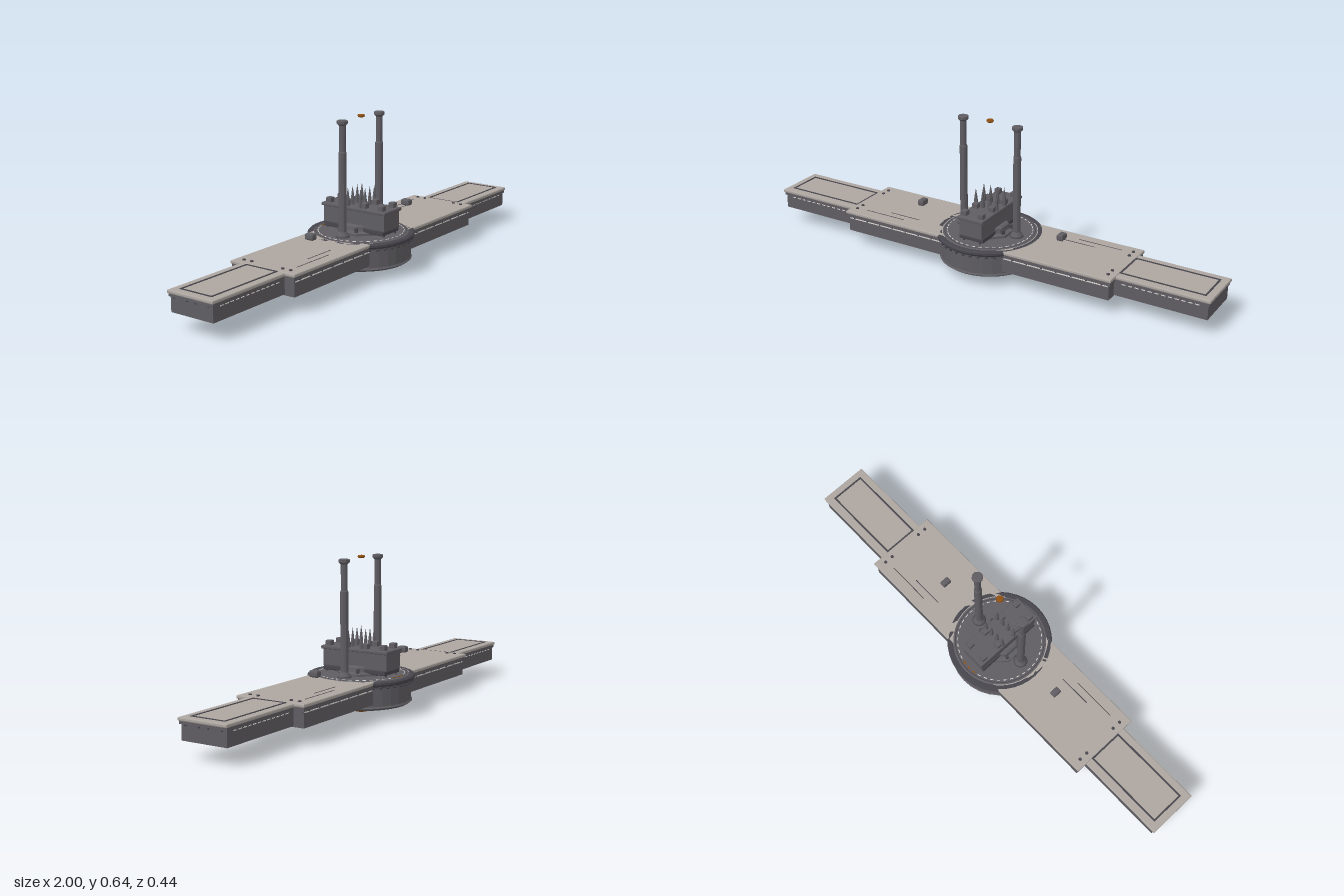
import * as THREE from 'three';

const mat = (name, color) => {
  const m = new THREE.MeshStandardMaterial({ color, flatShading: true });
  m.name = name;
  return m;
};

export function createModel() {
  const root = new THREE.Group();
  root.name = 'turntablePlatform';
  const steel = mat('gunmetal', 0x5f5d62);
  const dark = mat('darkSteel', 0x48464d);
  const deck = mat('paleDeck', 0xaca5a0);
  const copper = mat('copper', 0x8f5012);
  const white = mat('whitePaint', 0xd9d7d2);

  const add = (name, geo, m, x = 0, y = 0, z = 0, parent = root) => {
    const mesh = new THREE.Mesh(geo, m);
    mesh.name = name;
    mesh.position.set(x, y, z);
    parent.add(mesh);
    return mesh;
  };
  // Box given by its centre and its lower and upper heights
  const box = (name, m, x, z, w, d, y0, y1) =>
    add(name, new THREE.BoxGeometry(w, y1 - y0, d), m, x, (y0 + y1) / 2, z);
  const lathe = (name, m, pts, seg, x = 0, y = 0, z = 0) =>
    add(name, new THREE.LatheGeometry(pts.map(p => new THREE.Vector2(...p)), seg), m, x, y, z);
  // Horizontal slab with bevelled edges
  const slab = (name, m, x, z, w, d, y0, y1, b = 0.004) => {
    const hw = w / 2 - b, hd = d / 2 - b;
    const s = new THREE.Shape([[-hw, -hd], [hw, -hd], [hw, hd], [-hw, hd]].map(p => new THREE.Vector2(...p)));
    const g = new THREE.ExtrudeGeometry(s, {
      depth: y1 - y0 - 2 * b, bevelEnabled: true, bevelSize: b, bevelThickness: b, bevelSegments: 2,
    });
    g.rotateX(-Math.PI / 2);
    return add(name, g, m, x, y0 + b, z);
  };

  // Wings: broad inner span and narrow outer span on each side
  for (const s of [1, -1]) {
    box('innerWingHull', steel, s * 0.33, 0, 0.56, 0.288, 0.066, 0.13);
    box('innerWingTrim', steel, s * 0.335, 0, 0.562, 0.298, 0.129, 0.144);
    slab('innerWingDeck', deck, s * 0.345, 0, 0.55, 0.306, 0.143, 0.157);
    box('outerWingHull', steel, s * 0.79, 0, 0.4, 0.198, 0.07, 0.13);
    box('outerWingTrim', steel, s * 0.795, 0, 0.4, 0.208, 0.129, 0.142);
    slab('outerWingDeck', deck, s * 0.8, 0, 0.4, 0.214, 0.14, 0.154);

    // Inset groove framing the outer deck
    for (const f of [1, -1]) {
      box('deckGrooveSide', dark, s * 0.795, f * 0.072, 0.35, 0.007, 0.153, 0.156);
      box('deckStripe', white, s * 0.375, f * 0.1445, 0.46, 0.003, 0.122, 0.126);
      for (let i = 0; i < 12; i++) {
        box('deckDash', white, s * (0.65 + i * 0.027), f * 0.0995, 0.016, 0.003, 0.122, 0.125);
      }
      // Deck rivets beside the step
      for (const z of [0.075, 0.112]) {
        add('deckRivet', new THREE.CylinderGeometry(0.006, 0.007, 0.005, 8), dark, s * 0.59, 0.159, f * z);
      }
      // Bolts along the trim
      for (let i = 0; i < 7; i++) {
        add('trimBolt', new THREE.SphereGeometry(0.004, 6, 4), dark, s * (0.19 + i * 0.065), 0.128, f * 0.147);
      }
    }
    for (const z of [-0.08, -0.02, 0.02, 0.08]) {
      add('endBolt', new THREE.SphereGeometry(0.005, 6, 4), dark, s * 0.991, 0.128, z);
    }
    box('deckGrooveEnd', dark, s * 0.967, 0, 0.007, 0.151, 0.153, 0.156);
    box('deckGrooveStep', dark, s * 0.622, 0, 0.007, 0.151, 0.153, 0.156);

    // Scored lines on the inner deck
    box('deckScore', dark, s * 0.45, -s * 0.105, 0.19, 0.003, 0.156, 0.158);
    box('deckScore', dark, s * 0.37, -s * 0.073, 0.14, 0.003, 0.156, 0.158);

    // Small floating marker above each wing
    slab('marker', steel, s * 0.33, 0, 0.026, 0.038, 0.192, 0.221, 0.008);

    // Tall pillar with collar and cap
    lathe('pillar', steel, [[0, 0.15], [0.026, 0.15], [0.026, 0.164], [0.021, 0.172], [0.016, 0.18],
      [0.016, 0.5], [0.0135, 0.505], [0.0135, 0.608], [0.022, 0.616], [0.022, 0.627],
      [0.018, 0.629], [0, 0.629]], 10, s * 0.125);
    add('pillarFlange', new THREE.TorusGeometry(0.025, 0.004, 6, 16).rotateX(Math.PI / 2), dark, s * 0.125, 0.158, 0);
  }

  // Round hub with sloping underside and overhanging rim
  lathe('hub', steel, [[0, 0.025], [0.11, 0.025], [0.195, 0.041], [0.207, 0.05], [0.203, 0.057],
    [0.203, 0.131], [0.212, 0.138]], 32);
  lathe('hubRim', dark, [[0.203, 0.136], [0.213, 0.138], [0.218, 0.144], [0.218, 0.152], [0.213, 0.157],
    [0.197, 0.157], [0.194, 0.155]], 40);
  lathe('hubTop', steel, [[0.196, 0.155], [0.192, 0.158], [0, 0.158]], 40);
  add('hubGroove', new THREE.RingGeometry(0.183, 0.187, 40).rotateX(-Math.PI / 2), dark, 0, 0.1592, 0);
  for (let i = 0; i < 40; i++) {
    const a = (i / 40) * Math.PI * 2;
    // Skip rim bolts buried in the wings
    if (Math.abs(Math.cos(a)) < 0.72) {
      add('rimBolt', new THREE.SphereGeometry(0.007, 8, 6), dark, Math.cos(a) * 0.207, 0.132, Math.sin(a) * 0.207);
    }
    const atBack = Math.abs(a - Math.PI * 1.5) < 0.3;
    const dash = add('dialMark', new THREE.BoxGeometry(atBack ? 0.006 : 0.003, 0.002, 0.014),
      atBack ? copper : white, Math.sin(a + Math.PI / 2) * 0.175, 0.159, -Math.cos(a + Math.PI / 2) * 0.175);
    dash.rotation.y = -a;
  }

  // Copper pivot underneath and floating copper disc above
  lathe('pivot', copper, [[0, 0], [0.026, 0], [0.029, 0.004], [0.029, 0.01], [0.021, 0.016], [0.023, 0.027]], 16);
  lathe('floatingDisc', copper, [[0, 0.624], [0.012, 0.624], [0.015, 0.628], [0.013, 0.634], [0, 0.636]], 12);

  // Octagonal plinth with buttresses
  lathe('plinth', steel, [[0.102, 0.157], [0.102, 0.167], [0.082, 0.172], [0.078, 0.19], [0.07, 0.195], [0, 0.195]], 8)
    .rotation.y = Math.PI / 8;
  for (let i = 0; i < 8; i++) {
    const a = (i / 8) * Math.PI * 2 + Math.PI / 8;
    const rib = box('plinthRib', dark, Math.sin(a) * 0.082, Math.cos(a) * 0.082, 0.012, 0.02, 0.158, 0.186);
    rib.rotation.y = a;
  }

  // Long central housing with base lip and lid
  slab('housingFoot', dark, 0, 0, 0.112, 0.29, 0.165, 0.186);
  slab('housing', steel, 0, 0, 0.104, 0.3, 0.18, 0.255);
  slab('housingLid', steel, 0, 0, 0.118, 0.312, 0.25, 0.265);
  for (const x of [-0.038, 0.038]) {
    for (const z of [-0.128, -0.046, 0.046, 0.128]) {
      slab('lidLug', steel, x, z, 0.024, 0.024, 0.262, 0.286, 0.003);
    }
    for (const z of [-0.14, 0.14]) {
      add('footPin', new THREE.CylinderGeometry(0.004, 0.004, 0.014, 6), dark, x, 0.162, z);
    }
  }

  // Two rows of slender spikes
  for (const x of [-0.048, -0.016, 0.016, 0.048]) {
    for (const z of [-0.031, 0.031]) {
      lathe('spike', steel, [[0.009, 0.262], [0.0085, 0.285], [0.005, 0.312], [0, 0.342]], 6, x, 0, z);
    }
  }
  return root;
}
